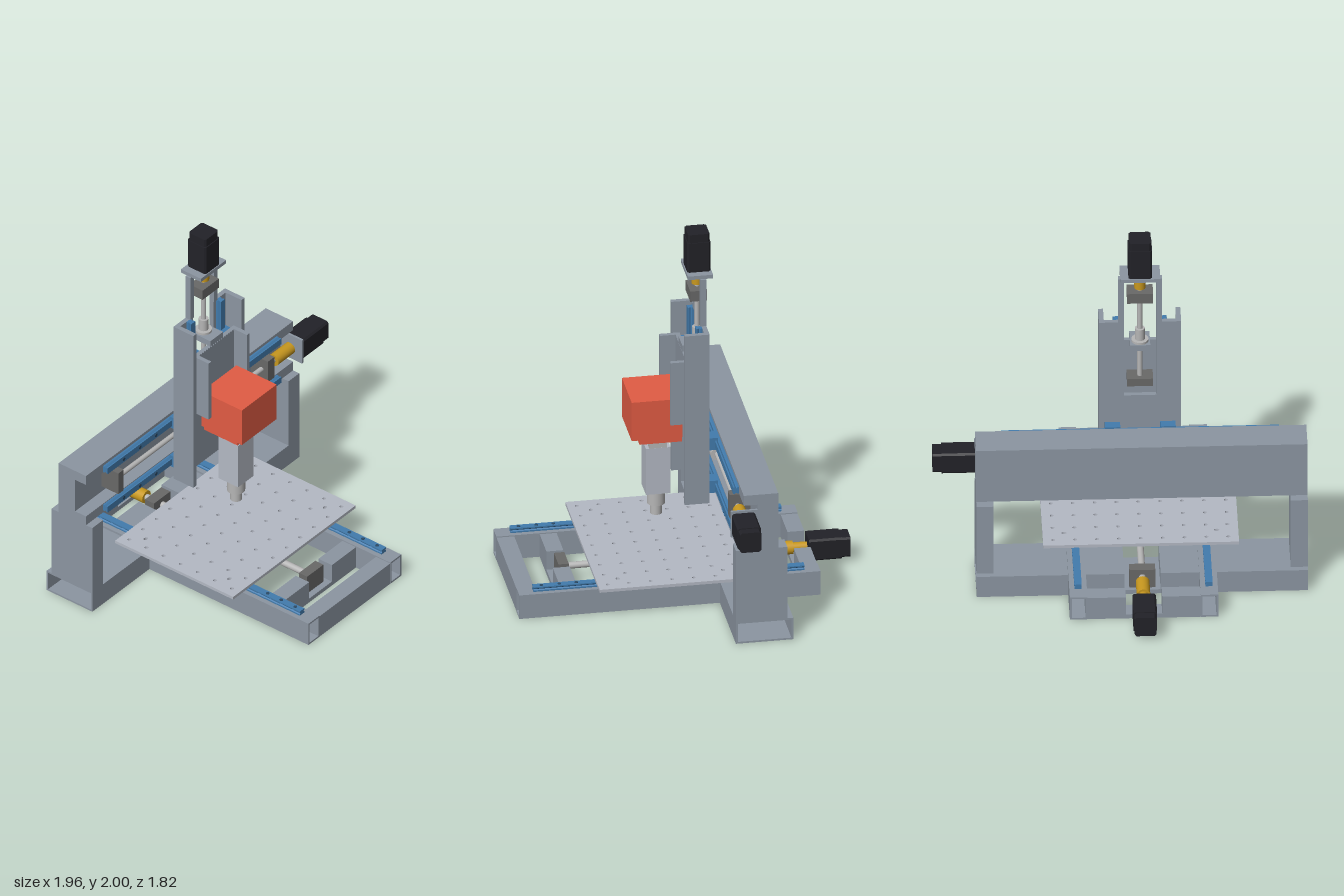
import * as THREE from 'three';

const mat = (color) => new THREE.MeshStandardMaterial({ color, side: THREE.DoubleSide });
const FRAME = mat(0x8c96a2), BLUE = mat(0x427cae), RED = mat(0xe25c44), GOLD = mat(0xc8981f);
const BLACK = mat(0x222228), DARK = mat(0x696968), STEEL = mat(0xb6b6b6), PLATE = mat(0xb4b9c4), HOLE = mat(0x2b4a66);

export function createModel() {
  const model = new THREE.Group();
  // all parts are symmetric about the spindle axis, which sits left of the origin
  const machine = new THREE.Group();
  machine.name = 'millingMachine';
  machine.position.x = -0.115;
  model.add(machine);

  const add = (name, geo, m) => {
    const mesh = new THREE.Mesh(geo, m);
    mesh.name = name;
    machine.add(mesh);
    return mesh;
  };
  const box = (name, m, x0, x1, y0, y1, z0, z1) => {
    const g = new THREE.BoxGeometry(x1 - x0, y1 - y0, z1 - z0);
    g.translate((x0 + x1) / 2, (y0 + y1) / 2, (z0 + z1) / 2);
    return add(name, g, m);
  };
  const poly = (pts) => new THREE.Shape(pts.map((p) => new THREE.Vector2(p[0], p[1])));
  const rect = (a0, a1, b0, b1) => poly([[a0, b0], [a1, b0], [a1, b1], [a0, b1]]);
  // shape plane per axis: z -> (x, y), x -> (-z, y), y -> (x, -z)
  const extrude = (name, m, shape, axis, from, to) => {
    const g = new THREE.ExtrudeGeometry(shape, { depth: to - from, bevelEnabled: false, curveSegments: 8 });
    g.translate(0, 0, from);
    if (axis === 'x') g.rotateY(Math.PI / 2);
    if (axis === 'y') g.rotateX(-Math.PI / 2);
    return add(name, g, m);
  };
  const hollow = (a0, a1, b0, b1, t) => {
    const s = rect(a0, a1, b0, b1);
    s.holes.push(rect(a0 + t, a1 - t, b0 + t, b1 - t));
    return s;
  };
  // cylinder along an axis; centre gives the position across it
  const cyl = (name, m, r, axis, from, to, [x, y, z]) => {
    const g = new THREE.CylinderGeometry(r, r, to - from, 24);
    const mid = (from + to) / 2;
    if (axis === 'x') g.rotateZ(Math.PI / 2);
    if (axis === 'z') g.rotateX(Math.PI / 2);
    g.translate(axis === 'x' ? mid : x, axis === 'y' ? mid : y, axis === 'z' ? mid : z);
    return add(name, g, m);
  };
  // stepper motor: chamfered body and a smaller end cap, built along +z
  const motor = (name, x, y, z, rx, ry) => {
    const group = new THREE.Group();
    group.name = name;
    for (const [h, from, len] of [[0.062, 0, 0.175], [0.057, 0.175, 0.047]]) {
      const c = h - 0.01;
      const s = poly([[-c, -h], [c, -h], [h, -c], [h, c], [c, h], [-c, h], [-h, c], [-h, -c]]);
      const g = new THREE.ExtrudeGeometry(s, { depth: len, bevelEnabled: false });
      g.translate(0, 0, from);
      const part = new THREE.Mesh(g, BLACK);
      part.name = from ? 'motorCap' : 'motorBody';
      group.add(part);
    }
    group.position.set(x, y, z);
    group.rotation.set(rx, ry, 0);
    machine.add(group);
  };
  // rail section with waisted sides; dir is the way it stands off its base
  const railShape = (u, v, du, dv, h = 0.032, w = 0.019) => poly(
    [[-w, 0], [w, 0], [w, 0.3], [w * 0.7, 0.5], [w, 0.75], [w, 1], [-w, 1], [-w, 0.75], [-w * 0.7, 0.5], [-w, 0.3]]
      .map(([a, b]) => [u + a * dv + b * h * du, v - a * du + b * h * dv]));
  // cross beam with a sunken middle that clears the table screw
  const notched = (name, half, h, z0, z1) => {
    box(name, FRAME, -0.095, 0.095, 0, 0.025, z0, z1);
    for (const s of [-1, 1]) box(name, FRAME, Math.min(s * 0.095, s * half), Math.max(s * 0.095, s * half), 0, h, z0, z1);
  };

  // base frame
  for (const s of [-1, 1]) {
    const c = s * 0.3425;
    extrude('baseTube', FRAME, hollow(c - 0.046, c + 0.046, 0, 0.138, 0.01), 'z', -0.69, 0.91);
    extrude('tableRail', BLUE, railShape(c, 0.138, 0, 1, 0.027), 'z', -0.61, 0.83);
    for (const z of [0.6, 0.69, 0.785]) cyl('railBolt', HOLE, 0.01, 'y', 0.16, 0.167, [c, 0, z]);
    for (const z of [-0.09, 0.34]) box('tableCarriage', BLUE, c - 0.035, c + 0.035, 0.15, 0.18, z - 0.066, z + 0.066);
  }
  box('frontCrossBeam', FRAME, -0.297, 0.297, 0, 0.132, 0.815, 0.909);
  notched('bearingCrossBeam', 0.297, 0.132, 0.59, 0.68);
  notched('gantryMiddleBeam', 0.297, 0.126, -0.46, -0.155);
  notched('rearCrossBeam', 0.297, 0.132, -0.689, -0.6);

  // table drive
  cyl('tableScrew', STEEL, 0.018, 'z', -0.5, 0.63, [0, 0.09, 0]);
  box('tableScrewBearing', DARK, -0.068, 0.068, 0.025, 0.135, 0.59, 0.645);
  box('tableScrewBearing', DARK, -0.068, 0.068, 0.025, 0.135, -0.44, -0.38);
  box('tableNutBracket', FRAME, -0.066, 0.066, 0.13, 0.18, 0.045, 0.065);
  cyl('tableNutFlange', STEEL, 0.052, 'z', 0.06, 0.075, [0, 0.09, 0]);
  cyl('tableNut', STEEL, 0.035, 'z', -0.03, 0.06, [0, 0.09, 0]);
  cyl('tableCoupler', GOLD, 0.036, 'z', -0.61, -0.485, [0, 0.09, 0]);
  cyl('tableCouplerEnd', GOLD, 0.025, 'z', -0.685, -0.61, [0, 0.09, 0]);
  motor('tableMotor', 0, 0.09, -0.687, 0, Math.PI);

  // table with a grid of holes and four slots
  const table = rect(-0.5125, 0.5125, -0.505, 0.285);
  const punch = (x, v, rx, ry) => {
    const p = new THREE.Path();
    p.absellipse(x, v, rx, ry, 0, Math.PI * 2, true);
    table.holes.push(p);
  };
  for (let i = -4; i <= 4; i++) for (let j = -3; j <= 3; j++) punch(i * 0.1145, -0.11 + j * 0.1145, 0.01, 0.01);
  for (const x of [-0.4, 0.4]) for (const v of [-0.39, 0.17]) punch(x, v, 0.014, 0.01);
  extrude('table', PLATE, table, 'y', 0.18, 0.197);

  // gantry
  for (const s of [-1, 1]) {
    const x0 = s < 0 ? -0.867 : 0.389, x1 = s < 0 ? -0.389 : 0.867;
    extrude('gantryFootBeam', FRAME, hollow(0.155, 0.46, 0, 0.126, 0.01), 'x', x0, x1);
    box('gantryColumn', FRAME, s < 0 ? -0.867 : 0.777, s < 0 ? -0.777 : 0.867, 0.126, 0.545, -0.428, -0.155);
  }
  extrude('gantryTopBeam', FRAME, poly([[0.38, 0.545], [0.38, 0.865], [0.197, 0.865], [0.197, 0.807],
    [0.27, 0.807], [0.27, 0.602], [0.197, 0.602], [0.197, 0.545]]), 'x', -0.867, 0.867);
  for (const y of [0.829, 0.578]) {
    extrude('gantryRail', BLUE, railShape(0.197, y, -1, 0), 'x', -0.725, 0.73);
    for (const x of [-0.59, -0.455, -0.32]) cyl('railBolt', HOLE, 0.01, 'z', -0.168, -0.163, [x, y, 0]);
    for (const x of [-0.145, 0.145]) box('gantryCarriage', BLUE, x - 0.04, x + 0.04, y - 0.035, y + 0.035, -0.182, -0.132);
  }
  const gx = [0, 0.703, -0.2];
  cyl('gantryScrew', STEEL, 0.014, 'x', -0.64, 0.71, gx);
  box('gantryScrewBearing', DARK, -0.645, -0.6, 0.636, 0.77, -0.27, -0.158);
  box('gantryScrewBearing', DARK, 0.607, 0.662, 0.636, 0.77, -0.27, -0.158);
  cyl('gantryNut', STEEL, 0.035, 'x', -0.06, 0.06, gx);
  box('gantryNutBracket', FRAME, -0.03, 0.03, 0.65, 0.755, -0.165, -0.13);
  cyl('gantryCoupler', GOLD, 0.034, 'x', 0.707, 0.845, gx);
  cyl('gantryMotorShaft', DARK, 0.014, 'x', 0.84, 0.87, gx);
  box('gantryMotorPlate', FRAME, 0.855, 0.868, 0.628, 0.778, -0.27, -0.128);
  motor('gantryMotor', 0.868, 0.703, -0.195, 0, Math.PI / 2);

  // vertical channel, slotted in its upper half for the screw
  const channel = (w, zb, zf, t) => poly([[-w, -zb], [-w, -zf], [t - w, -zf], [t - w, -zb - t],
    [w - t, -zb - t], [w - t, -zf], [w, -zf], [w, -zb]]);
  extrude('columnChannel', FRAME, channel(0.215, -0.132, 0, 0.026), 'y', 0.5, 1.03);
  for (const s of [-1, 1]) {
    extrude('columnChannelSide', FRAME, poly([[0.085, 0.132], [0.215, 0.132], [0.215, 0], [0.189, 0], [0.189, 0.106],
      [0.085, 0.106]].map(([a, b]) => [s * a, b])), 'y', 1.03, 1.49);
    extrude('spindleRail', BLUE, railShape(s * 0.124, 0.106, 0, -1, 0.033, 0.017), 'y', 0.79, 1.49);
    for (const y of [1.0, 1.24]) box('spindleCarriage', BLUE, s * 0.13 - 0.03, s * 0.13 + 0.03, y - 0.065, y + 0.065, -0.092, -0.04);
    box('motorPost', FRAME, s * 0.1 - 0.015, s * 0.1 + 0.015, 1.49, 1.762, -0.132, -0.1);
  }

  // vertical drive
  const vz = [0, 0, -0.103];
  box('verticalMotorPlate', FRAME, -0.105, 0.105, 1.762, 1.783, -0.17, -0.036);
  motor('verticalMotor', 0, 1.778, -0.103, -Math.PI / 2, 0);
  cyl('verticalCoupler', GOLD, 0.03, 'y', 1.69, 1.762, vz);
  box('verticalScrewBearing', DARK, -0.068, 0.068, 1.615, 1.675, -0.145, -0.055);
  box('verticalScrewBearing', DARK, -0.068, 0.068, 1.095, 1.14, -0.145, -0.055);
  cyl('verticalScrew', STEEL, 0.014, 'y', 1.1, 1.7, vz);
  cyl('verticalNut', STEEL, 0.026, 'y', 1.36, 1.435, vz);
  cyl('verticalNutFlange', STEEL, 0.045, 'y', 1.355, 1.368, vz);
  box('verticalNutBracket', FRAME, -0.053, 0.053, 1.32, 1.355, -0.15, -0.015);

  // spindle mount and head
  extrude('spindleMountBack', FRAME, rect(-0.145, 0.145, 0.015, 0.04), 'y', 0.95, 1.315);
  extrude('spindleMount', FRAME, channel(0.172, -0.04, 0.068, 0.024), 'y', 0.952, 1.317);
  box('spindleHousing', RED, -0.146, 0.146, 0.865, 1.09, 0, 0.27);
  box('spindleHousingBase', RED, -0.127, 0.127, 0.83, 0.865, 0, 0.225);
  box('spindleNeck', STEEL, -0.064, 0.064, 0.77, 0.83, 0.067, 0.162);
  box('spindleBody', PLATE, -0.065, 0.065, 0.5, 0.77, 0.05, 0.18);
  cyl('spindleNose', STEEL, 0.048, 'y', 0.42, 0.5, [0, 0, 0.115]);
  cyl('spindleCollet', STEEL, 0.031, 'y', 0.36, 0.42, [0, 0, 0.115]);
  return model;
}
